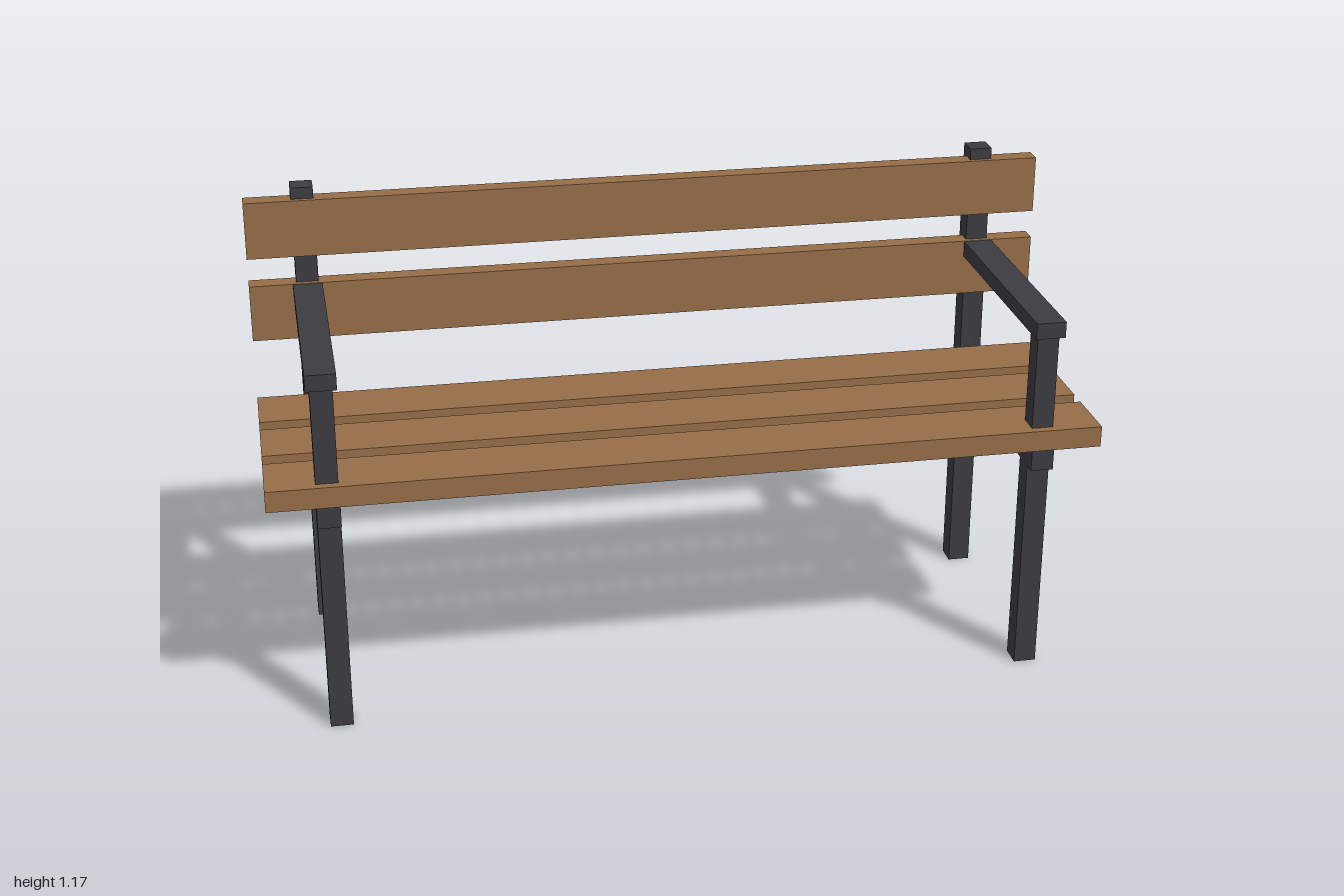
import * as THREE from 'three';

export function createModel() {
  const wood = new THREE.MeshStandardMaterial({ color: 0x966d48 });
  wood.name = 'brown wood';
  const metal = new THREE.MeshStandardMaterial({ color: 0x3b3b41 });
  metal.name = 'dark metal';

  const bench = new THREE.Group();
  bench.name = 'bench';

  // Box given by its centre x, width, and y and z extents
  function bar(parent, name, material, x, width, y0, y1, z0, z1) {
    const mesh = new THREE.Mesh(new THREE.BoxGeometry(width, y1 - y0, z1 - z0), material);
    mesh.position.set(x, (y0 + y1) / 2, (z0 + z1) / 2);
    mesh.name = name;
    parent.add(mesh);
  }

  // End frames, mirrored left and right
  for (const side of [1, -1]) {
    const frame = new THREE.Group();
    frame.name = side > 0 ? 'leftFrame' : 'rightFrame';
    const x = side * 0.857;
    bar(frame, 'rearPost', metal, x, 0.055, 0, 1.172, -0.33, -0.274);
    bar(frame, 'frontLeg', metal, x, 0.055, 0, 0.545, 0.24, 0.296);
    bar(frame, 'seatRail', metal, x, 0.055, 0.545, 0.599, -0.274, 0.325);
    bar(frame, 'armPost', metal, x, 0.053, 0.599, 0.888, 0.256, 0.309);
    bar(frame, 'armRest', metal, x, 0.072, 0.888, 0.928, -0.275, 0.325);
    bench.add(frame);
  }

  // Seat slats
  for (const z of [0.253, 0.054, -0.145]) {
    bar(bench, 'seatSlat', wood, 0, 2, 0.599, 0.651, z - 0.0775, z + 0.0775);
  }

  // Backrest slats
  for (const y of [0.858, 1.072]) {
    bar(bench, 'backSlat', wood, 0, 2, y - 0.0715, y + 0.0715, -0.308, -0.261);
  }

  return bench;
}
